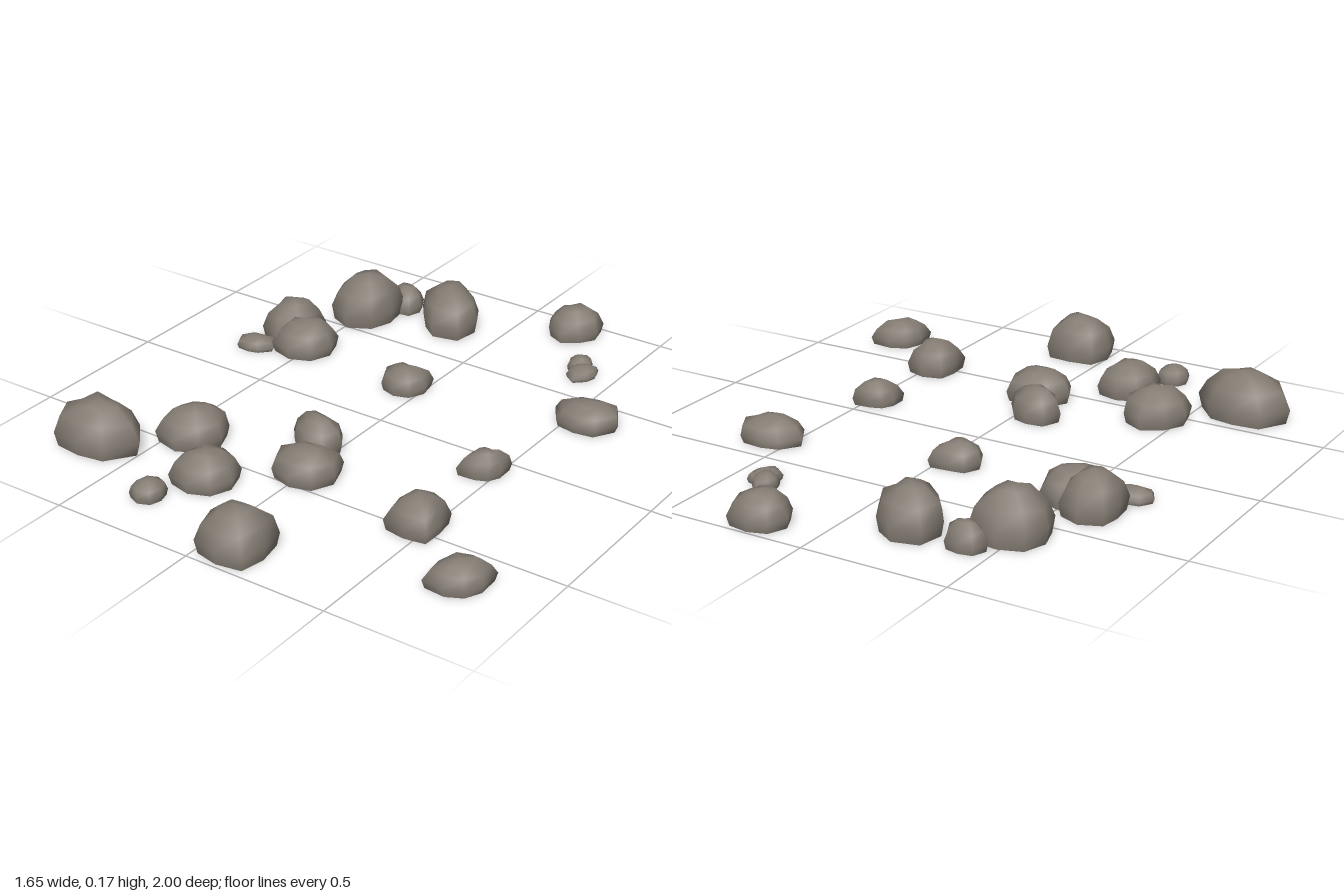
import * as THREE from 'three';

const stone = new THREE.MeshStandardMaterial({ color: 0x857d74 });
stone.name = 'warm grey stone';

// Small seeded generator for the unevenness of the stones
function seeded(seed) {
  let s = seed * 7919 + 13;
  return () => (s = (s * 16807) % 2147483647) / 2147483647;
}

// Rings from the ground to the crown: [height, width], as parts of the whole
const RINGS = [[0, 0.92], [0.3, 1], [0.66, 0.83], [0.91, 0.45]];
const SIDES = 8;

// A domed stone with a flat underside. radii: hundredths, eight compass steps from +x towards +z.
function rockGeometry(height, radii, peakX, peakZ, seed) {
  const random = seeded(seed);
  random();
  const points = [], index = [];
  RINGS.forEach(([level, width], r) => {
    for (let k = 0; k < SIDES; k++) {
      const angle = (k / SIDES) * Math.PI * 2;
      const uneven = r > 1 ? 0.93 + random() * 0.14 : 1;
      const radius = radii[k] * 0.01 * width * uneven;
      const y = height * level * (r > 0 ? 0.93 + random() * 0.14 : 1);
      points.push(
        Math.cos(angle) * radius + peakX * level * level,
        Math.min(y, height * 0.97),
        Math.sin(angle) * radius + peakZ * level * level
      );
    }
  });
  // Sides
  for (let r = 0; r < RINGS.length - 1; r++) {
    for (let k = 0; k < SIDES; k++) {
      const a = r * SIDES + k, b = r * SIDES + (k + 1) % SIDES;
      index.push(a, a + SIDES, b, b, a + SIDES, b + SIDES);
    }
  }
  // Crown
  const top = points.length / 3, last = (RINGS.length - 1) * SIDES;
  points.push(peakX, height, peakZ);
  for (let k = 0; k < SIDES; k++) index.push(last + k, top, last + (k + 1) % SIDES);
  // Underside, with its own corners so that its edge stays sharp
  const base = points.length / 3;
  points.push(...points.slice(0, SIDES * 3), 0, 0, 0);
  for (let k = 0; k < SIDES; k++) index.push(base + SIDES, base + k, base + (k + 1) % SIDES);

  const geometry = new THREE.BufferGeometry();
  geometry.setAttribute('position', new THREE.Float32BufferAttribute(points, 3));
  geometry.setIndex(index);
  geometry.computeVertexNormals();
  return geometry;
}

export function createModel() {
  const group = new THREE.Group();
  group.name = 'scatteredRocks';
  let count = 0;

  function rock(name, x, z, height, radii, peakX = 0, peakZ = 0) {
    const mesh = new THREE.Mesh(rockGeometry(height, radii, peakX, peakZ, ++count), stone);
    mesh.name = name;
    mesh.position.set(x, 0, z);
    group.add(mesh);
  }

  // Back stones
  rock('backRock', 0.2, -0.91, 0.11, [9.5, 8, 9.5, 9, 9.5, 9.5, 9, 11]);
  rock('backSmallRock', -0.41, -0.745, 0.09, [7, 7.5, 6, 5, 7, 7, 6, 7]);
  rock('backBroadRock', -0.2, -0.72, 0.157, [11.5, 14, 12, 9.5, 11.5, 13.5, 12, 10.5]);
  rock('backTallRock', -0.49, -0.612, 0.17, [11.5, 12, 13, 12.5, 11.5, 12, 11.5, 14], 0.01, 0);
  rock('backPebbleUpper', 0.353, -0.69, 0.05, [4.5, 4, 5, 4.5, 4.2, 4.5, 5.8, 4.5]);
  rock('backPebbleLower', 0.385, -0.655, 0.04, [5, 5.5, 7.5, 6, 4.5, 4, 5, 5.5]);
  rock('backLongRock', 0.56, -0.365, 0.087, [12, 10.5, 8.5, 10, 11.5, 9.5, 8.5, 11], 0.02, 0);

  // Cluster on the right at the back
  rock('clusterTallRock', -0.607, -0.343, 0.145, [9, 10.5, 11.5, 11.5, 9, 11, 11, 11]);
  rock('clusterBroadRock', -0.512, -0.28, 0.115, [11, 11, 11, 12, 10, 9, 11, 11.5]);
  rock('clusterLowRock', -0.665, -0.19, 0.045, [7.5, 5.5, 5, 6.5, 7, 6, 5, 7.5]);

  // Middle stones
  rock('middleRock', -0.063, -0.232, 0.085, [8.5, 8, 7.5, 8, 8.5, 8, 6.5, 10]);
  rock('middleSmallRock', 0.459, 0.095, 0.085, [6.5, 6, 6, 9, 6.5, 6, 5.8, 9], 0.01, -0.005);
  rock('innerRock', -0.069, 0.253, 0.115, [9.5, 10, 8, 7.5, 9.5, 9.5, 7.5, 8]);
  rock('innerBroadRock', 0.01, 0.422, 0.11, [11.5, 11, 10, 11, 11.5, 10, 8.5, 12]);

  // Front stones
  rock('frontPointedRock', -0.422, 0.438, 0.125, [11, 10.5, 11.5, 13, 11.5, 10.5, 12, 11]);
  rock('frontBlockRock', 0.47, 0.475, 0.12, [8, 11, 9, 11, 8.5, 10.5, 9.5, 10]);
  rock('frontLargeRock', -0.66, 0.633, 0.16, [17, 14, 11.5, 14.5, 16.5, 14.5, 11, 13], 0.01, 0);
  rock('frontMiddleRock', -0.222, 0.628, 0.115, [10.5, 10.5, 10.5, 12, 10, 10.5, 10, 11]);
  rock('frontSideRock', 0.739, 0.67, 0.09, [8.5, 8, 8.5, 11, 8.5, 9, 9, 11.5]);
  rock('frontPebble', -0.311, 0.802, 0.065, [5.5, 6, 6, 6, 5.5, 5.5, 5.5, 6]);
  rock('frontTallRock', 0.1, 0.887, 0.155, [11, 13, 10.8, 12.5, 11.5, 12.5, 10, 13]);

  return group;
}
